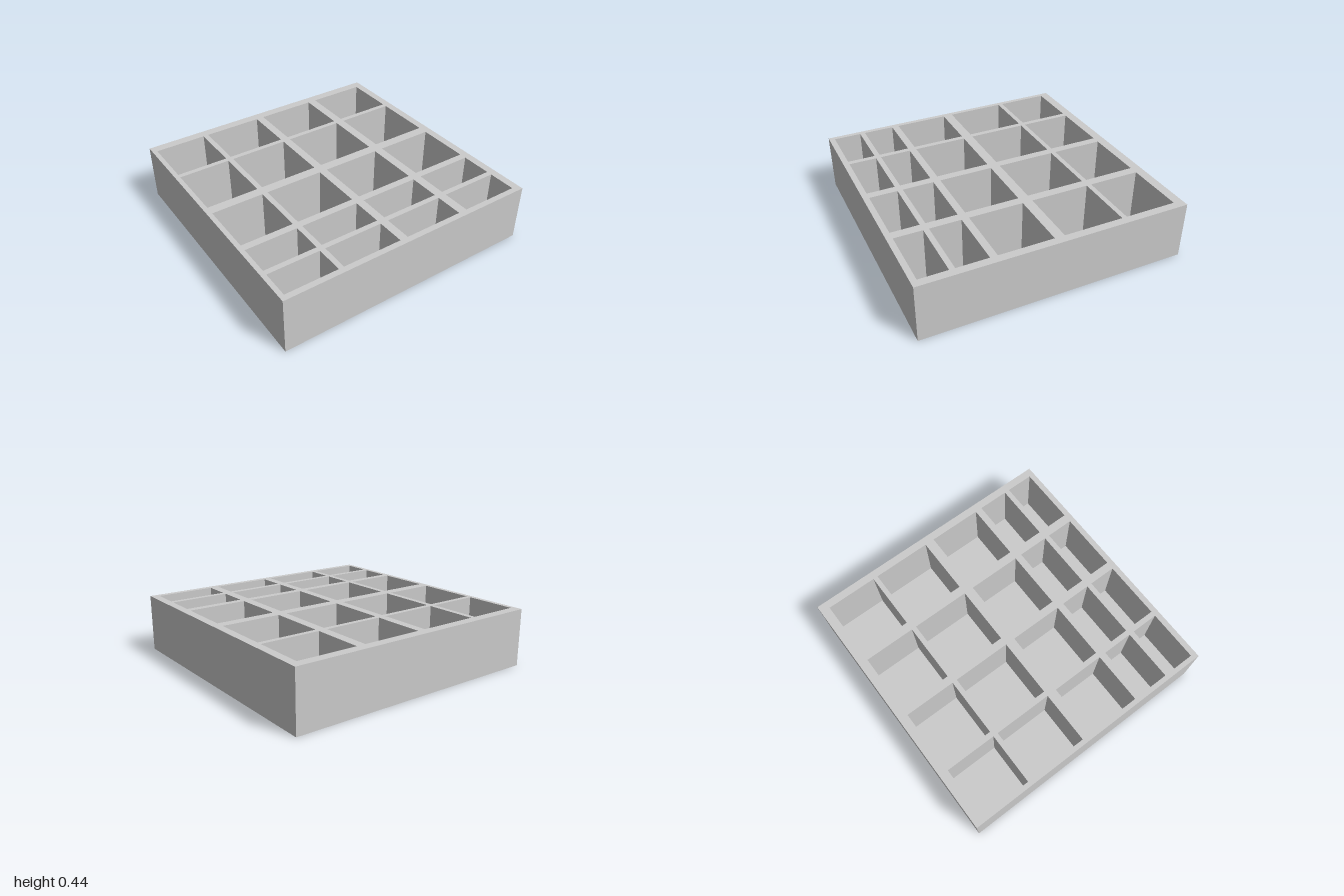
import * as THREE from 'three';

const HEIGHT = 0.435;
const FLOOR = 0.03;

// Compartment extents across the width (x) and the depth (z)
const COLUMNS = [[-0.965, -0.572], [-0.532, -0.085], [-0.024, 0.428], [0.495, 0.941]];
const ROWS = [[-0.93, -0.54], [-0.503, -0.059], [0.016, 0.422], [0.476, 0.709], [0.749, 0.957]];

// Adds a closed rectangle to a path; z is negated because the shape is laid flat later
function rectangle(path, [x0, x1], [z0, z1]) {
  path.moveTo(x0, -z1);
  path.lineTo(x1, -z1);
  path.lineTo(x1, -z0);
  path.lineTo(x0, -z0);
  path.closePath();
  return path;
}

export function createModel() {
  const group = new THREE.Group();
  group.name = 'compartmentTray';
  const material = new THREE.MeshStandardMaterial({ color: 0xcccccc });

  // Outer walls and dividers, pierced by one hole per compartment
  const outline = rectangle(new THREE.Shape(), [-1, 1], [-1, 1]);
  for (const row of ROWS) {
    for (const column of COLUMNS) {
      outline.holes.push(rectangle(new THREE.Path(), column, row));
    }
  }
  const wallGeometry = new THREE.ExtrudeGeometry(outline, { depth: HEIGHT - FLOOR, bevelEnabled: false });
  wallGeometry.rotateX(-Math.PI / 2);
  const walls = new THREE.Mesh(wallGeometry, material);
  walls.name = 'wallsAndDividers';
  walls.position.y = FLOOR;
  group.add(walls);

  // Solid base closing the compartments
  const base = new THREE.Mesh(new THREE.BoxGeometry(2, FLOOR, 2), material);
  base.name = 'base';
  base.position.y = FLOOR / 2;
  group.add(base);

  return group;
}
